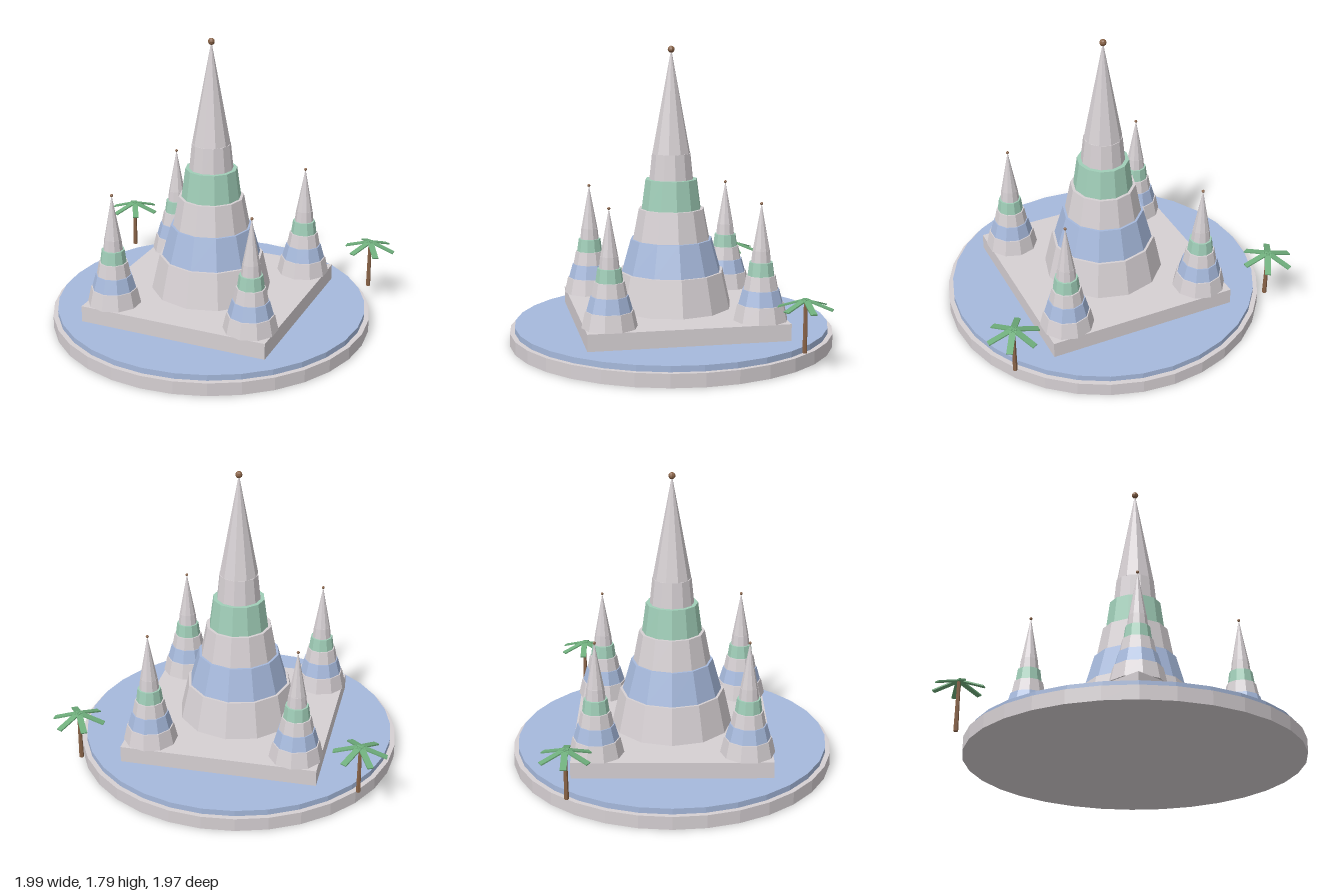
import * as THREE from 'three';

const flat = (name, color) => {
  const m = new THREE.MeshStandardMaterial({ color });
  m.name = name;
  return m;
};

export function createModel() {
  const stone = flat('pale stone', 0xd6d0d3);
  const blue = flat('soft blue', 0xa6b9dc);
  const green = flat('mint green', 0xa0ceb8);
  const leaf = flat('palm green', 0x6fae7c);
  const wood = flat('brown', 0x8a6448);

  const model = new THREE.Group();
  model.name = 'templeIsland';

  const add = (parent, name, geometry, material, x = 0, y = 0, z = 0) => {
    // faceted normals on every part
    const g = geometry.index ? geometry.toNonIndexed() : geometry;
    g.computeVertexNormals();
    const mesh = new THREE.Mesh(g, material);
    mesh.name = name;
    mesh.position.set(x, y, z);
    parent.add(mesh);
    return mesh;
  };
  // Cylinder standing between two heights
  const drum = (parent, name, rBottom, rTop, y0, y1, sides, material) =>
    add(parent, name, new THREE.CylinderGeometry(rTop, rBottom, y1 - y0, sides), material, 0, (y0 + y1) / 2, 0);

  // Round base, water and square terrace
  drum(model, 'baseDisc', 0.987, 0.987, 0, 0.08, 32, stone);
  drum(model, 'water', 0.957, 0.957, 0.08, 0.115, 32, blue);
  add(model, 'terrace', new THREE.BoxGeometry(1.185, 0.1, 1.185), stone, 0, 0.165, 0);

  // Tiered tower: bottom radius, top radius, bottom height, top height, colour
  const tiers = [
    [0.37, 0.32, 0, 0.221, stone],
    [0.305, 0.25, 0.221, 0.416, blue],
    [0.236, 0.2, 0.416, 0.601, stone],
    [0.182, 0.158, 0.601, 0.78, green],
    [0.134, 0.118, 0.78, 0.935, stone],
  ];
  const tower = (name, x, z, scale, sides) => {
    const group = new THREE.Group();
    group.name = name;
    tiers.forEach(([r0, r1, y0, y1, mat], i) => drum(group, `tier${i + 1}`, r0, r1, y0, y1, sides, mat));
    add(group, 'spire', new THREE.ConeGeometry(0.116, 0.625, 10), stone, 0, 1.2475, 0);
    add(group, 'finial', new THREE.SphereGeometry(0.021, 8, 6), wood, 0, 1.557, 0);
    group.position.set(x, 0.215, z);
    group.scale.setScalar(scale);
    model.add(group);
  };
  tower('mainTower', 0, 0, 1, 12);
  for (const sx of [-1, 1])
    for (const sz of [-1, 1]) tower('cornerTower', sx * 0.445, sz * 0.445, 0.44, 10);

  // Palm trees at the back corners
  for (const side of [-1, 1]) {
    const palm = new THREE.Group();
    palm.name = side > 0 ? 'leftPalm' : 'rightPalm';
    drum(palm, 'trunk', 0.014, 0.01, 0, 0.305, 6, wood);
    for (let i = 0; i < 6; i++) {
      const frond = new THREE.BoxGeometry(0.163, 0.008, 0.037);
      frond.translate(0.0815, 0, 0);
      frond.rotateZ(-0.32);
      frond.rotateY((i * Math.PI) / 3);
      add(palm, 'frond', frond, leaf, 0, 0.307, 0);
    }
    palm.position.set(side * 0.84, 0.115, -0.595);
    model.add(palm);
  }
  return model;
}
